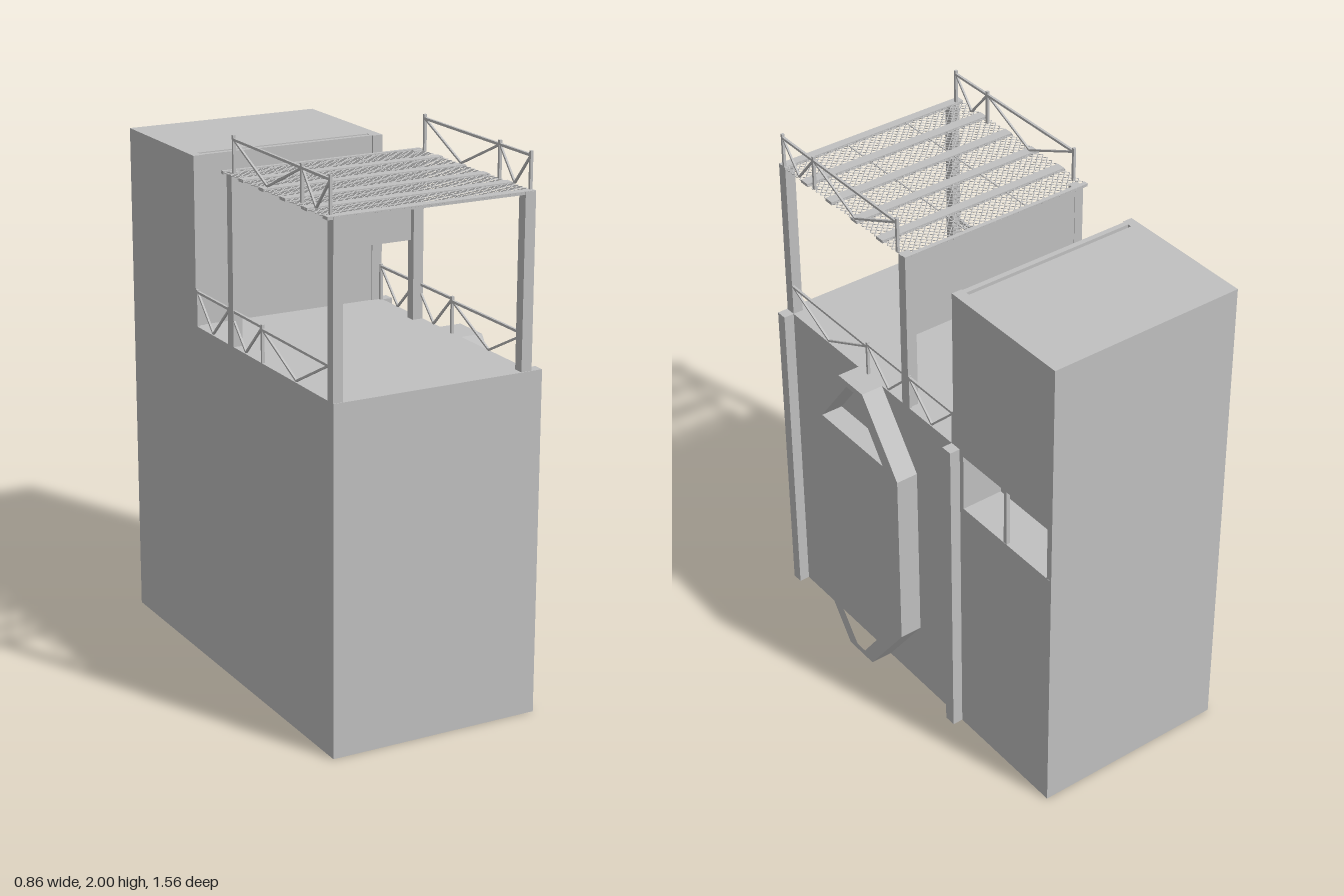
import * as THREE from 'three';
import { mergeGeometries } from 'three/addons/utils/BufferGeometryUtils.js';

const L = -0.41, R = 0.345, BASE = 1.255, TOP = 1.87;

export function createModel() {
  const group = new THREE.Group();
  const grey = new THREE.MeshStandardMaterial({ color: 0xc0c0c0 });
  grey.name = 'plain grey';

  const add = (name, geometry) => {
    const mesh = new THREE.Mesh(geometry, grey);
    mesh.name = name;
    group.add(mesh);
    return mesh;
  };
  // box from its limits on each axis
  const block = (x0, x1, y0, y1, z0, z1) =>
    new THREE.BoxGeometry(x1 - x0, y1 - y0, z1 - z0)
      .translate((x0 + x1) / 2, (y0 + y1) / 2, (z0 + z1) / 2);
  // side profile given as [z, y] points, extruded from x0 to x1
  const toPoints = (pts) => pts.map(([z, y]) => new THREE.Vector2(-z, y));
  const sideExtrude = (pts, x0, x1, holes = []) => {
    const shape = new THREE.Shape(toPoints(pts));
    for (const h of holes) shape.holes.push(new THREE.Path(toPoints(h)));
    return new THREE.ExtrudeGeometry(shape, { depth: x1 - x0, bevelEnabled: false })
      .rotateY(Math.PI / 2).translate(x0, 0, 0);
  };
  // thin square bar between two points
  const bar = (a, b, w) => {
    const from = new THREE.Vector3(...a), to = new THREE.Vector3(...b);
    const dir = to.clone().sub(from);
    const q = new THREE.Quaternion().setFromUnitVectors(
      new THREE.Vector3(0, 1, 0), dir.clone().normalize());
    return new THREE.BoxGeometry(w, dir.length(), w)
      .applyQuaternion(q).translate(...from.add(to).multiplyScalar(0.5).toArray());
  };

  // L-shaped building, with a recess cut in the outer layer of its side
  const body = [[0.78, 0], [0.78, BASE], [-0.28, BASE], [-0.28, TOP], [-0.78, TOP], [-0.78, 0]];
  const recess = [[-0.295, 1.01], [-0.77, 1.01], [-0.77, 1.235], [-0.295, 1.235]];
  const recessBack = R - 0.16;
  add('buildingCore', sideExtrude(body, L, recessBack));
  add('buildingSide', sideExtrude(body, recessBack, R, [recess]));
  for (const z of [-0.535, -0.77])
    add('recessPost', block(R - 0.016, R - 0.001, 1.01, 1.235, z, z + 0.015));

  // pilasters on the side wall
  add('frontPilaster', block(R, 0.385, 0, BASE, 0.738, 0.78));
  add('middlePilaster', block(R, 0.385, 0, BASE, -0.275, -0.23));

  // eight-sided wall panel with a cut-out at each end
  add('wallPanel', sideExtrude(
    [[0.525, 0.99], [0.325, BASE], [0.18, BASE], [-0.02, 0.99],
      [-0.02, 0.27], [0.18, 0], [0.325, 0], [0.525, 0.27]], R, 0.43,
    [[[0.445, 1.01], [0.067, 1.01], [0.228, 1.232], [0.278, 1.232]],
      [[0.445, 0.245], [0.067, 0.245], [0.228, 0.025], [0.278, 0.025]]]));

  // posts at the canopy corners and on the tower front
  for (const [name, z0, z1] of [['towerPost', -0.28, -0.24],
    ['rearPost', 0.02, 0.058], ['frontPost', 0.738, 0.777]]) {
    add(name, block(L, -0.375, BASE, TOP, z0, z1));
    add(name, block(0.305, R, BASE, TOP, z0, z1));
  }
  add('towerFrontPanel', block(-0.375, 0.305, BASE, TOP, -0.265, -0.245));
  add('hangingPanel', block(-0.375, 0.305, 1.545, TOP - 0.005, 0.022, 0.038));

  // canopy beams and edge strips
  const beams = [[0.02, 0.036], [0.15, 0.186], [0.3, 0.336], [0.45, 0.488], [0.6, 0.638], [0.742, 0.775]];
  for (const [z0, z1] of beams)
    add('canopyBeam', block(-0.43, R, 1.861, 1.872, z0, z1));
  for (const x of [-0.175, 0.08])
    add('meshSeam', block(x - 0.002, x + 0.002, 1.867, 1.87, 0.02, 0.775));

  // diagonal wire mesh clipped to the canopy rectangle
  const wires = [];
  const [mx0, mx1, mz0, mz1] = [-0.43, R, 0.02, 0.775];
  const width = mx1 - mx0, depth = mz1 - mz0;
  for (let s = 0.025; s < width + depth; s += 0.025) {
    const u0 = Math.max(0, s - depth), u1 = Math.min(width, s);
    if (u1 - u0 < 0.004) continue;
    wires.push(bar([mx0 + u0, 1.868, mz0 + s - u0], [mx0 + u1, 1.868, mz0 + s - u1], 0.0025));
    wires.push(bar([mx1 - u0, 1.868, mz0 + s - u0], [mx1 - u1, 1.868, mz0 + s - u1], 0.0025));
  }
  add('canopyMesh', mergeGeometries(wires));

  // railings: each bay has a top rail and a V brace
  const railing = (name, x, y, height, postTop, posts, bays) => {
    const parts = posts.map((z) => bar([x, y, z], [x, y + postTop, z], 0.01));
    for (const [za, zb, foot, h = height] of bays) {
      parts.push(bar([x, y + h, za], [x, y + h, zb], 0.009));
      parts.push(bar([x, y + h, za], [x, y + 0.004, foot], 0.007));
      parts.push(bar([x, y + 0.004, foot], [x, y + h, zb], 0.007));
    }
    add(name, mergeGeometries(parts));
  };
  for (const x of [-0.405, 0.34]) {
    railing('canopyRailing', x, TOP, 0.115, 0.13, [0.75, 0.56, 0.068],
      [[0.75, 0.56, 0.655], [0.56, 0.068, 0.315]]);
    railing('terraceRailing', x, BASE, 0.126, 0.135, [0.27, 0.02, -0.235],
      [[0.738, 0.27, 0.515, 0.117], [0.27, 0.02, 0.145], [0.02, -0.235, -0.11]]);
  }
  return group;
}
